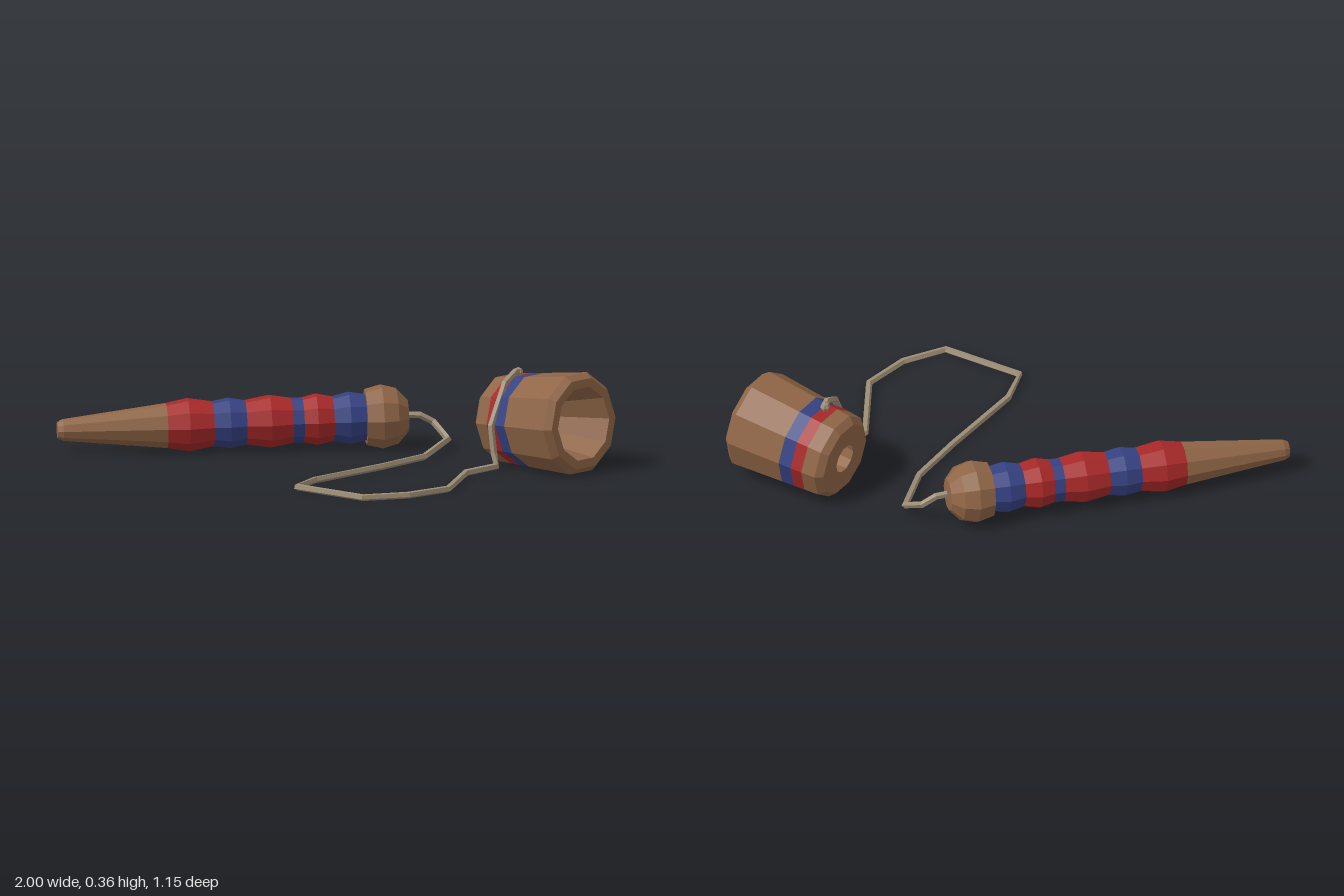
import * as THREE from 'three';

const SIDES = 10;
const paint = (name, color) => {
  const m = new THREE.MeshStandardMaterial({ color });
  m.name = name;
  return m;
};

// Faceted look: every face gets its own normal
function faceted(geometry, material, name) {
  const g = geometry.toNonIndexed();
  g.computeVertexNormals();
  const mesh = new THREE.Mesh(g, material);
  mesh.name = name;
  return mesh;
}

// Turned part from [radius, height] pairs
const turned = (points, material, name) =>
  faceted(new THREE.LatheGeometry(points.map(([r, h]) => new THREE.Vector2(r, h)), SIDES), material, name);

export function createModel() {
  const wood = paint('wood', 0x8f6546);
  const red = paint('red', 0xa82828);
  const blue = paint('blue', 0x364182);
  const cord = paint('cord', 0x9c8c74);
  const model = new THREE.Group();
  model.name = 'cupAndPinToy';

  // Handle: tapered pin, painted grip and round knob, lying along x
  const handle = new THREE.Group();
  handle.name = 'handle';
  handle.add(
    turned([[0, 0], [0.03, 0], [0.04, 0.02], [0.083, 0.4]], wood, 'pin'),
    turned([[0.083, 0.4], [0.098, 0.48], [0.083, 0.57]], red, 'gripBandRear'),
    turned([[0.083, 0.57], [0.093, 0.63], [0.082, 0.69]], blue, 'gripBandBlue'),
    turned([[0.082, 0.69], [0.097, 0.78], [0.083, 0.86]], red, 'gripBandMiddle'),
    turned([[0.083, 0.86], [0.083, 0.9]], blue, 'gripStripe'),
    turned([[0.083, 0.9], [0.095, 0.95], [0.082, 1.01]], red, 'gripBandFront'),
    turned([[0.082, 1.01], [0.096, 1.07], [0.085, 1.13]], blue, 'gripBandCollar'),
    turned([[0.085, 1.13], [0.103, 1.13], [0.118, 1.19], [0.103, 1.245], [0.06, 1.285], [0, 1.29]], wood, 'knob'),
  );
  handle.rotation.z = -Math.PI / 2 + 0.024;
  handle.position.set(-1, 0.09, -0.46);
  model.add(handle);

  // Cup: bored barrel resting on its side, two painted bands near the base
  const wall = (h) => [0.163 + (h - 0.025) * 0.075, h];
  const cup = new THREE.Group();
  cup.name = 'cup';
  cup.add(
    turned([[0.055, 0], [0.14, 0], wall(0.025), wall(0.08)], wood, 'cupBase'),
    turned([wall(0.08), wall(0.125)], red, 'cupBandRed'),
    turned([wall(0.125), wall(0.175)], blue, 'cupBandBlue'),
    turned([wall(0.175), wall(0.385), [0.17, 0.41], [0.137, 0.41]], wood, 'cupBody'),
    turned([[0.137, 0.41], [0.055, 0]], wood, 'cupBore'),
  );
  const axis = new THREE.Vector3(0.659, 0.072, 0.752).normalize();
  const across = new THREE.Vector3(0.752, 0, -0.659).normalize();
  const lift = new THREE.Vector3().crossVectors(axis, across);
  cup.quaternion.setFromRotationMatrix(new THREE.Matrix4().makeBasis(lift, axis, across));
  cup.position.set(0.604, 0.16, -0.198);
  model.add(cup);

  // String: straight runs from the knob, over the ground, up over the cup
  const path = [
    [0.27, 0.125, -0.46], [0.33, 0.122, -0.46], [0.38, 0.095, -0.46], [0.425, 0.045, -0.38],
    [0.32, 0.022, -0.18], [0.15, 0.02, -0.02], [-0.12, 0.02, 0.21], [-0.2, 0.02, 0.34],
    [0.02, 0.02, 0.562], [0.19, 0.02, 0.53], [0.345, 0.02, 0.43], [0.44, 0.02, 0.13],
    [0.56, 0.025, 0.045], [0.552, 0.07, 0.025], [0.543, 0.168, 0.009], [0.6, 0.318, -0.041],
    [0.642, 0.35, -0.085], [0.665, 0.34, -0.123],
  ].map((p) => new THREE.Vector3(...p));
  const curve = new THREE.CatmullRomCurve3(path, false, 'catmullrom');
  // Rings sit exactly on the path points, keeping the corners sharp
  curve.getPointAt = curve.getPoint;
  curve.getTangentAt = curve.getTangent;
  model.add(faceted(new THREE.TubeGeometry(curve, path.length - 1, 0.013, 5), cord, 'string'));

  // Knot where the string meets the cup
  const knot = faceted(new THREE.SphereGeometry(0.019, 6, 4), cord, 'knot');
  knot.position.set(0.655, 0.343, -0.11);
  model.add(knot);

  return model;
}
